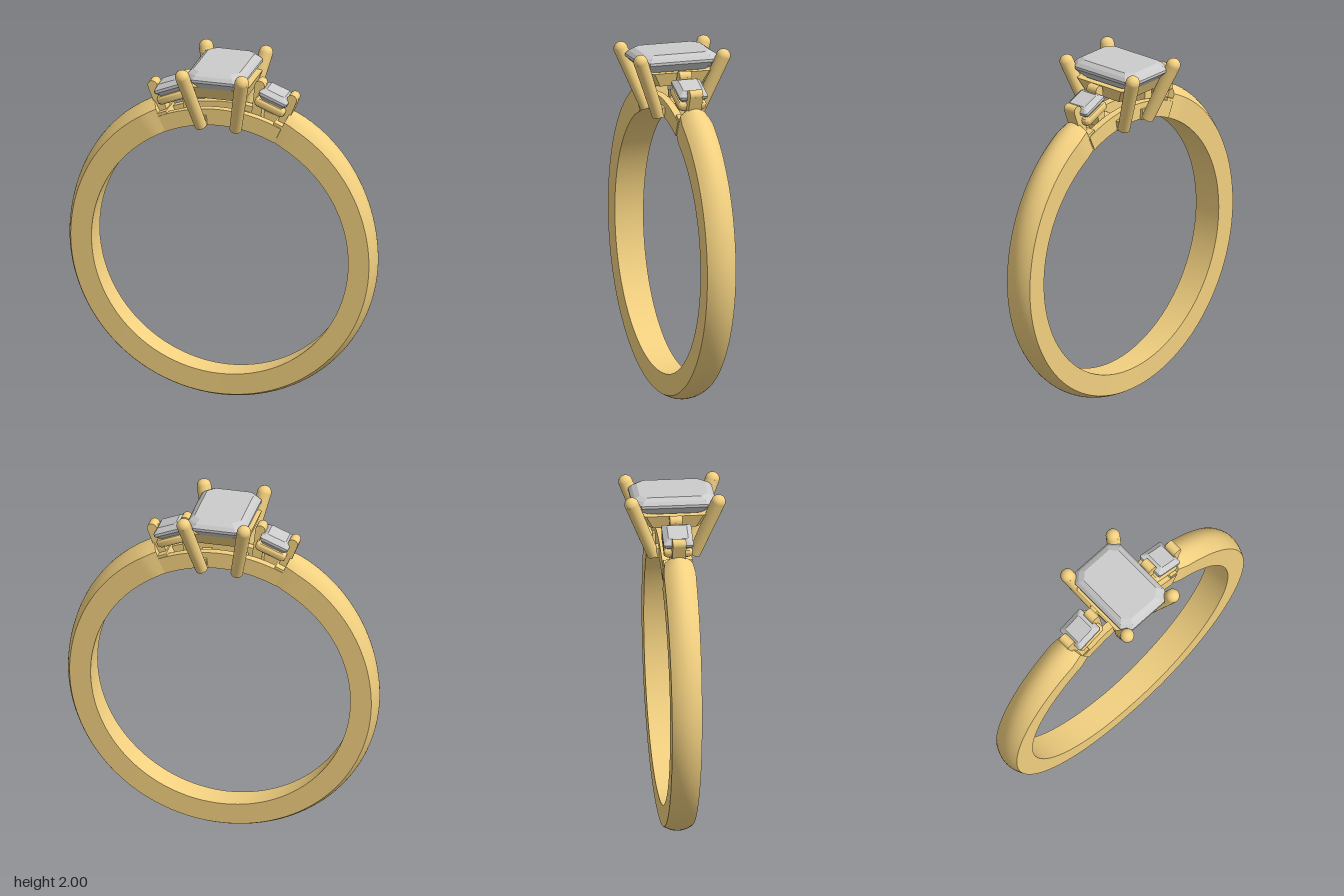
import * as THREE from 'three';
import { toCreasedNormals } from 'three/addons/utils/BufferGeometryUtils.js';

const CENTRE_Y = 0.89, INNER_R = 0.74;
const rad = THREE.MathUtils.degToRad;
const gold = new THREE.MeshStandardMaterial({ color: 0xf2d080 });
const stone = new THREE.MeshStandardMaterial({ color: 0xcccccc });

// Skin a list of equal-length rings; either cap both ends or join last to first.
function loft(rings, { joined = false, crease = 0.5 } = {}) {
  const n = rings[0].length, m = rings.length, index = [];
  for (let i = 0; i < (joined ? m : m - 1); i++) {
    for (let j = 0; j < n; j++) {
      const k = (j + 1) % n, next = (i + 1) % m;
      const a = i * n + j, b = i * n + k, c = next * n + k, d = next * n + j;
      index.push(a, b, c, a, c, d);
    }
  }
  if (!joined) {
    const last = (m - 1) * n;
    for (let j = 1; j < n - 1; j++) index.push(0, j + 1, j, last, last + j, last + j + 1);
  }
  const geo = new THREE.BufferGeometry();
  geo.setAttribute('position', new THREE.Float32BufferAttribute(rings.flat(2), 3));
  geo.setIndex(index);
  return toCreasedNormals(geo, crease);
}

// Sweep a [radius, z] section round the finger axis; degrees run from the top towards +x.
function sweep(from, to, steps, section) {
  const rings = [];
  for (let i = 0; i <= steps; i++) {
    const deg = from + (to - from) * i / steps, a = rad(deg);
    rings.push(section(deg).map(([r, z]) => [r * Math.sin(a), CENTRE_Y + r * Math.cos(a), z]));
  }
  return loft(rings);
}

const block = (r0, r1, z0, z1) => () => [[r1, z0], [r1, z1], [r0, z1], [r0, z0]];

// Rectangle with cut corners at height y.
function cutRect(hx, hz, c, y) {
  const x = hx - c, z = hz - c;
  return [[hx, y, z], [hx, y, -z], [x, y, -hz], [-x, y, -hz],
    [-hx, y, -z], [-hx, y, z], [-x, y, hz], [x, y, hz]];
}

function add(parent, name, geometry, material = gold) {
  const mesh = new THREE.Mesh(geometry, material);
  mesh.name = name;
  parent.add(mesh);
  return mesh;
}

// Place a mesh so that its y axis runs from p to q.
function stretch(mesh, p, q) {
  mesh.position.copy(p).add(q).multiplyScalar(0.5);
  mesh.quaternion.setFromUnitVectors(new THREE.Vector3(0, 1, 0), q.clone().sub(p).normalize());
  return mesh;
}

// Domed band, growing wider and taller towards the setting.
function shankSection(deg) {
  const fromTop = Math.min(deg, 360 - deg);
  const rise = 1 - THREE.MathUtils.smoothstep(fromTop, 25, 85);
  const pinch = 1 - THREE.MathUtils.smoothstep(fromTop, 25, 30);
  const w = 0.075 + 0.015 * (180 - fromTop) / 155 - 0.012 * pinch;
  const edge = 0.86 + 0.017 * rise, crown = 0.885 + 0.043 * rise;
  const pts = [];
  for (let i = 0; i <= 10; i++) {
    const t = i / 5 - 1;
    pts.push([edge + (crown - edge) * (1 - t * t), w * t]);
  }
  return [...pts, [INNER_R, w], [INNER_R, -w]];
}

// Round claw with a ball tip
function claw(parent, base, tip, radius) {
  const g = new THREE.Group();
  g.name = 'centreProng';
  stretch(add(g, 'prongShaft', new THREE.CylinderGeometry(radius, radius * 0.85, base.distanceTo(tip), 24)), base, tip);
  add(g, 'prongTip', new THREE.SphereGeometry(radius, 24, 16)).position.copy(tip);
  parent.add(g);
}

// Flat bar with a rounded top
function bar(parent, name, base, tip, thick, width) {
  const g = new THREE.Group();
  g.name = name;
  stretch(add(g, 'barShaft', new THREE.BoxGeometry(thick, base.distanceTo(tip), width)), base, tip);
  const cap = add(g, 'barTip', new THREE.CylinderGeometry(thick / 2, thick / 2, width, 20));
  cap.rotation.x = Math.PI / 2;
  cap.position.copy(tip);
  parent.add(g);
}

function sideSetting() {
  const side = new THREE.Group();
  side.name = 'sideSetting';

  // Tilted stone and the frame beneath it
  const seat = new THREE.Group();
  seat.name = 'sideSeat';
  seat.position.set(0.302, 1.815, 0);
  seat.rotation.z = rad(-22);
  side.add(seat);
  add(seat, 'sideStone', loft([
    cutRect(0.025, 0.025, 0.004, -0.075), cutRect(0.065, 0.06, 0.008, -0.035),
    cutRect(0.085, 0.083, 0.008, -0.008), cutRect(0.085, 0.083, 0.008, 0.008),
    cutRect(0.055, 0.055, 0.006, 0.032)], { crease: 0.05 }), stone);
  add(seat, 'sideFrame', loft([
    cutRect(0.082, 0.07, 0.012, -0.082), cutRect(0.09, 0.08, 0.012, -0.07),
    cutRect(0.09, 0.08, 0.012, -0.045), cutRect(0.082, 0.074, 0.012, -0.034),
    cutRect(0.06, 0.052, 0.01, -0.034), cutRect(0.05, 0.04, 0.01, -0.082)],
  { joined: true, crease: 0.9 }));

  // Bars gripping the stone at its two ends
  const v = (x, y) => new THREE.Vector3(x, y, 0);
  bar(side, 'outerProng', v(0.325, 1.61), v(0.402, 1.808), 0.056, 0.075);
  bar(side, 'innerProng', v(0.19, 1.65), v(0.215, 1.872), 0.056, 0.07);

  // Cross pieces of the bridge
  add(side, 'endBlock', sweep(21.5, 25.3, 2, block(INNER_R, 0.85, -0.08, 0.08)));
  add(side, 'middleCrossbar', sweep(12.5, 16, 2, block(INNER_R, 0.8, -0.075, 0.075)));
  add(side, 'innerCrossbar', sweep(5.5, 9.5, 2, block(INNER_R, 0.8, -0.1, 0.1)));
  return side;
}

export function createModel() {
  const ring = new THREE.Group();
  ring.name = 'ring';

  add(ring, 'shank', sweep(25, 335, 120, shankSection));

  // Twin rails bridging the gap in the band
  for (const s of [1, -1]) {
    const z0 = s > 0 ? 0.042 : -0.085;
    add(ring, 'bridgeRail', sweep(-25, 25, 24, block(INNER_R, 0.835, z0, z0 + 0.043)));
  }

  // Centre stone with stepped crown and pavilion
  add(ring, 'centreStone', loft([
    cutRect(0.008, 0.06, 0.004, 1.785), cutRect(0.07, 0.13, 0.02, 1.835),
    cutRect(0.13, 0.19, 0.036, 1.888), cutRect(0.17, 0.233, 0.05, 1.93),
    cutRect(0.17, 0.233, 0.05, 1.945), cutRect(0.155, 0.217, 0.046, 1.965),
    cutRect(0.132, 0.19, 0.04, 1.982)], { crease: 0.05 }), stone);

  // Tapered basket frame
  add(ring, 'basket', loft([
    cutRect(0.15, 0.14, 0.02, 1.808), cutRect(0.176, 0.185, 0.025, 1.885),
    cutRect(0.135, 0.15, 0.02, 1.885), cutRect(0.11, 0.105, 0.02, 1.808)],
  { joined: true }));

  // Four splayed claws
  for (const sx of [1, -1]) for (const sz of [1, -1]) {
    claw(ring, new THREE.Vector3(0.1 * sx, 1.63, 0.115 * sz), new THREE.Vector3(0.172 * sx, 1.961, 0.242 * sz), 0.04);
  }

  // Mirrored side settings
  for (const turn of [0, Math.PI]) {
    const side = sideSetting();
    side.rotation.y = turn;
    ring.add(side);
  }
  return ring;
}
